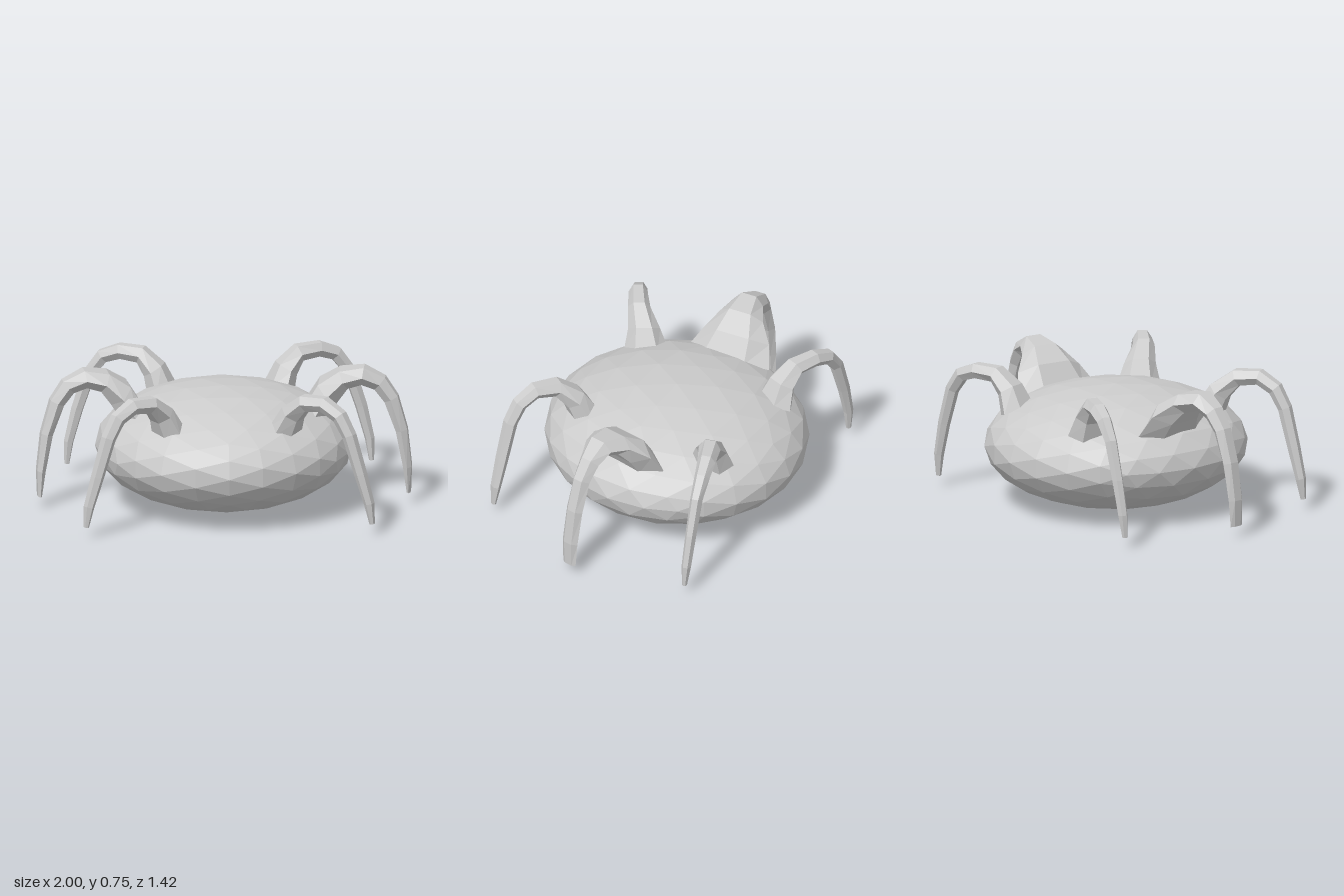
import * as THREE from 'three';

const material = new THREE.MeshStandardMaterial({ color: 0xcccccc, flatShading: true });

// Lofts a six-sided limb along stations [x, y, z, half width, half thickness]
function limbGeometry(stations, sides = 6) {
  const centers = stations.map(([x, y, z]) => new THREE.Vector3(x, y, z));
  const last = centers.length - 1;
  const outward = centers[last].clone().sub(centers[0]).setY(0).normalize();
  const side = outward.cross(new THREE.Vector3(0, 1, 0));
  const positions = [];
  const index = [];

  centers.forEach((c, i) => {
    const tangent = centers[Math.min(i + 1, last)].clone().sub(centers[Math.max(i - 1, 0)]).normalize();
    const normal = side.clone().cross(tangent).normalize();
    const [, , , w, h] = stations[i];
    for (let j = 0; j < sides; j++) {
      const a = (j / sides) * Math.PI * 2;
      const p = c.clone().addScaledVector(side, Math.cos(a) * w).addScaledVector(normal, Math.sin(a) * h);
      positions.push(p.x, p.y, p.z);
    }
  });
  for (let i = 0; i < last; i++) {
    for (let j = 0; j < sides; j++) {
      const k = (j + 1) % sides;
      const a = i * sides + j, b = i * sides + k;
      const c = a + sides, d = b + sides;
      index.push(a, c, b, b, c, d);
    }
  }
  // Close both ends
  const end = last * sides;
  for (let j = 1; j < sides - 1; j++) {
    index.push(0, j, j + 1, end, end + j + 1, end + j);
  }
  const geometry = new THREE.BufferGeometry();
  geometry.setAttribute('position', new THREE.Float32BufferAttribute(positions, 3));
  geometry.setIndex(index);
  const flat = geometry.toNonIndexed();
  flat.computeVertexNormals();
  return flat;
}

// Leg paths for the model's left side, from the body to the tip
const legs = {
  frontLeg: [
    [0.31, 0.50, 0.39, 0.12, 0.08],
    [0.35, 0.61, 0.43, 0.085, 0.065],
    [0.41, 0.685, 0.50, 0.06, 0.05],
    [0.51, 0.695, 0.57, 0.05, 0.045],
    [0.59, 0.64, 0.615, 0.045, 0.042],
    [0.64, 0.54, 0.64, 0.042, 0.038],
    [0.70, 0.33, 0.655, 0.038, 0.034],
    [0.745, 0.17, 0.665, 0.032, 0.027],
    [0.76, 0.06, 0.67, 0.016, 0.014],
  ],
  middleLeg: [
    [0.49, 0.50, -0.01, 0.24, 0.08],
    [0.56, 0.61, -0.02, 0.19, 0.08],
    [0.64, 0.68, 0.0, 0.125, 0.06],
    [0.74, 0.70, 0.02, 0.085, 0.055],
    [0.83, 0.655, 0.02, 0.06, 0.05],
    [0.89, 0.57, 0.03, 0.052, 0.045],
    [0.945, 0.40, 0.04, 0.052, 0.036],
    [0.975, 0.20, 0.05, 0.05, 0.026],
    [0.982, 0.06, 0.05, 0.042, 0.012],
  ],
  backLeg: [
    [0.31, 0.50, -0.42, 0.12, 0.08],
    [0.35, 0.61, -0.44, 0.085, 0.065],
    [0.42, 0.685, -0.475, 0.06, 0.05],
    [0.53, 0.69, -0.525, 0.05, 0.045],
    [0.62, 0.655, -0.555, 0.042, 0.042],
    [0.69, 0.56, -0.565, 0.034, 0.038],
    [0.755, 0.36, -0.57, 0.03, 0.034],
    [0.80, 0.18, -0.57, 0.026, 0.027],
    [0.81, 0.06, -0.565, 0.014, 0.014],
  ],
};

export function createModel() {
  const model = new THREE.Group();
  model.name = 'sixLeggedCreature';

  // Faceted, flattened body
  const bodyGeometry = new THREE.IcosahedronGeometry(1, 3);
  bodyGeometry.scale(0.685, 0.322, 0.712);
  bodyGeometry.translate(0, 0.322, 0);
  bodyGeometry.computeVertexNormals();
  const body = new THREE.Mesh(bodyGeometry, material);
  body.name = 'body';
  model.add(body);

  // Three mirrored pairs of arched legs
  for (const [name, path] of Object.entries(legs)) {
    for (const [label, sign] of [['Left', 1], ['Right', -1]]) {
      const leg = new THREE.Mesh(limbGeometry(path.map(([x, ...rest]) => [x * sign, ...rest])), material);
      leg.name = name + label;
      model.add(leg);
    }
  }
  return model;
}
